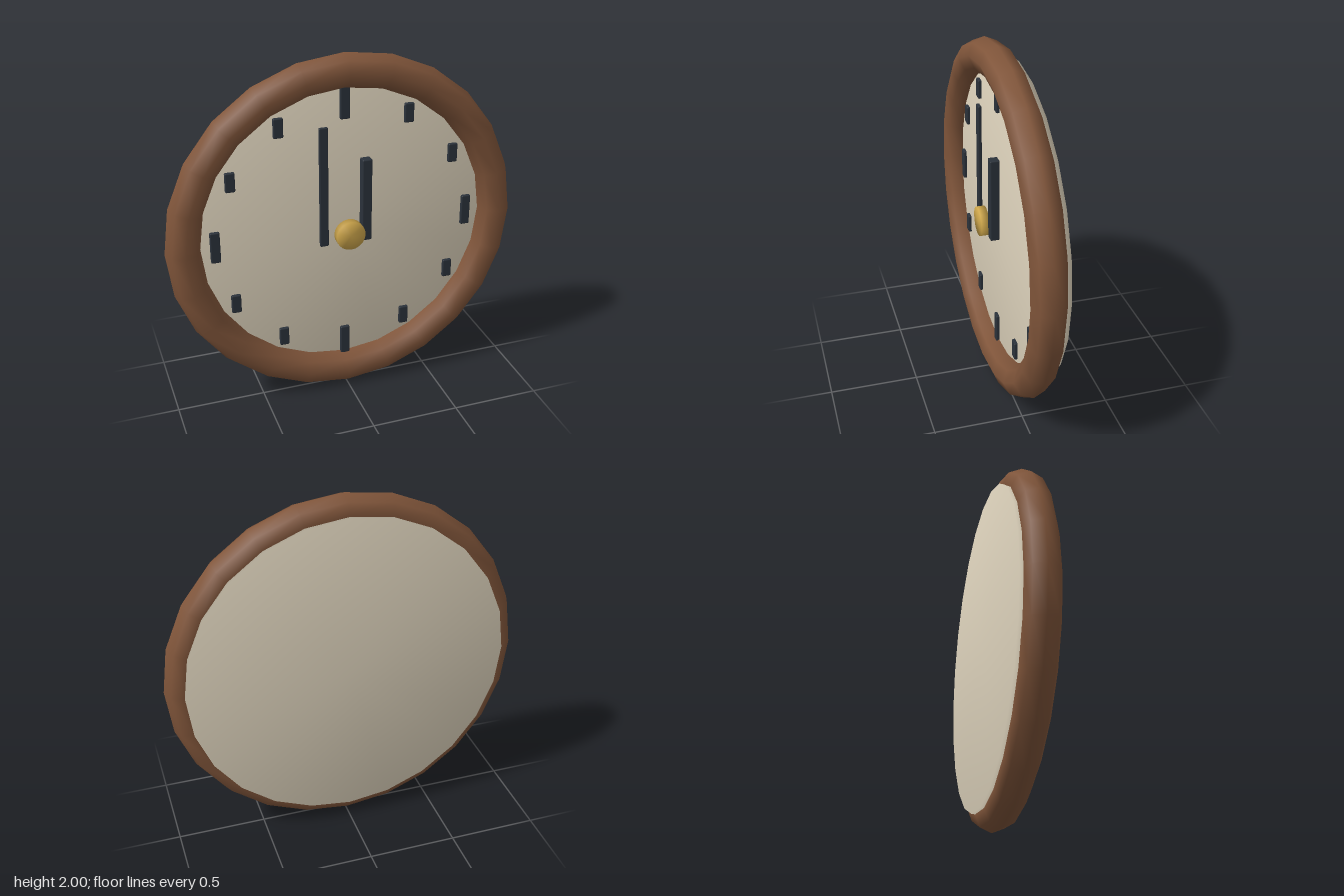
import * as THREE from 'three';
import { mergeVertices } from 'three/addons/utils/BufferGeometryUtils.js';
import { RoundedBoxGeometry } from 'three/addons/geometries/RoundedBoxGeometry.js';

const makeMaterial = (name, color) => {
  const m = new THREE.MeshStandardMaterial({ color });
  m.name = name;
  return m;
};

// Disc facing +z between two depths, with normals shared across its rim so it shades like a dome
function softDisc(radius, zBack, zFront, sides) {
  let geo = new THREE.CylinderGeometry(radius, radius, zFront - zBack, sides);
  geo.rotateX(Math.PI / 2);
  geo.translate(0, 0, (zBack + zFront) / 2);
  geo.deleteAttribute('normal');
  geo.deleteAttribute('uv');
  geo = mergeVertices(geo, 1e-4);
  geo.computeVertexNormals();
  return geo;
}

export function createModel() {
  const wood = makeMaterial('brown wood', 0x80553a);
  const cream = makeMaterial('cream', 0xe0d5be);
  const charcoal = makeMaterial('charcoal', 0x2b323b);
  const brass = makeMaterial('brass', 0xd0a84c);

  const clock = new THREE.Group();
  clock.name = 'wallClock';
  const add = (parent, name, geo, mat, x = 0, y = 0, z = 0) => {
    const mesh = new THREE.Mesh(geo, mat);
    mesh.name = name;
    mesh.position.set(x, y, z);
    parent.add(mesh);
  };

  // Bar given by its centre, size and depth range
  const bar = (parent, name, x, y, w, h, zBack, zFront) => {
    const geo = new RoundedBoxGeometry(w, h, zFront - zBack, 1, 0.007);
    add(parent, name, geo, charcoal, x, y, (zBack + zFront) / 2);
  };

  // Rim and dial
  add(clock, 'rim', new THREE.TorusGeometry(0.905, 0.095, 8, 24), wood, 0, 1);
  add(clock, 'dial', softDisc(0.905, -0.115, -0.003, 24), cream, 0, 1);

  // Upright hour markers, longer at the quarters
  const markers = new THREE.Group();
  markers.name = 'hourMarkers';
  clock.add(markers);
  for (let i = 0; i < 12; i++) {
    const a = (i * Math.PI) / 6;
    const h = i % 3 === 0 ? 0.18 : 0.11;
    bar(markers, 'hourMarker', 0.73 * Math.sin(a), 1 + 0.73 * Math.cos(a), 0.054, h, -0.02, 0.015);
  }

  // Hands and centre cap
  bar(clock, 'minuteHand', -0.14, 1.285, 0.05, 0.69, 0.055, 0.076);
  bar(clock, 'hourHand', 0.105, 1.18, 0.056, 0.48, 0.025, 0.077);
  add(clock, 'centreCap', softDisc(0.083, 0.068, 0.113, 20), brass, 0, 1);

  return clock;
}
